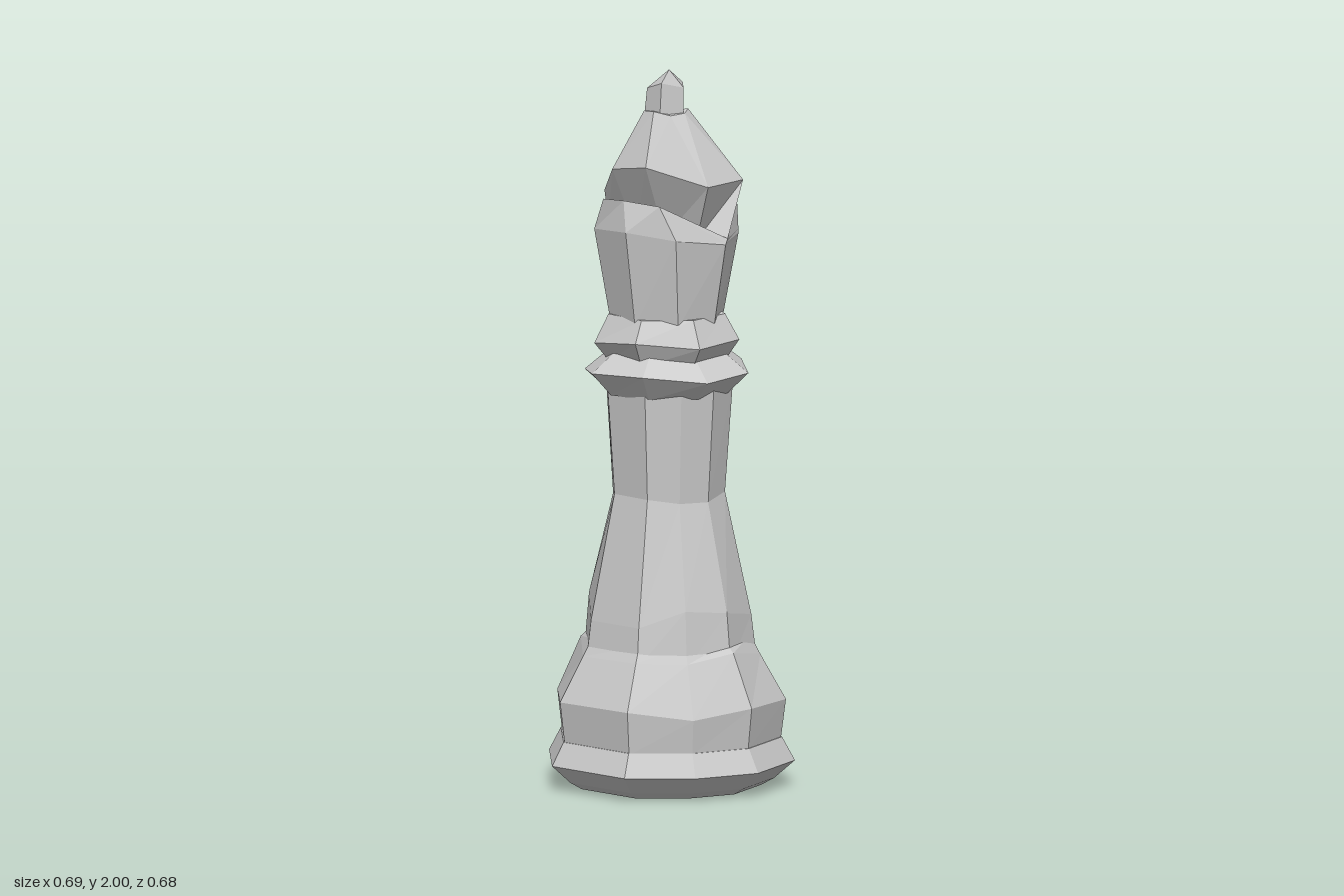
import * as THREE from 'three';

const material = new THREE.MeshStandardMaterial({ color: 0xcccccc, flatShading: true });

// Joins rings of [x, y, z] points, listed from bottom to top, and closes both ends.
function loft(name, rings, tip) {
  const n = rings[0].length;
  const pos = [];
  const centre = (ring) => [0, 1, 2].map((k) => ring.reduce((s, p) => s + p[k], 0) / n);
  const bottom = rings[0], top = rings[rings.length - 1];
  const low = centre(bottom), high = tip || centre(top);
  for (let i = 0; i < n; i++) {
    const j = (i + 1) % n;
    pos.push(...low, ...bottom[j], ...bottom[i], ...high, ...top[i], ...top[j]);
    for (let r = 0; r + 1 < rings.length; r++) {
      const a = rings[r], b = rings[r + 1];
      pos.push(...a[i], ...a[j], ...b[j], ...a[i], ...b[j], ...b[i]);
    }
  }
  const geometry = new THREE.BufferGeometry();
  geometry.setAttribute('position', new THREE.Float32BufferAttribute(pos, 3));
  geometry.computeVertexNormals();
  const mesh = new THREE.Mesh(geometry, material);
  mesh.name = name;
  return mesh;
}

// Irregular nine-sided outline shared by the foot and shaft, from front towards +x
const outline = [
  [0.085, 0.34], [0.25, 0.235], [0.345, 0.065], [0.315, -0.165], [0.135, -0.325],
  [-0.1, -0.34], [-0.31, -0.18], [-0.345, 0.065], [-0.19, 0.285],
];
const scaled = (y, s, wobble = 0) =>
  outline.map(([x, z], i) => [x * s, y + wobble * Math.sin(i * 2.4 + y * 9), z * s]);

// Regular ring with an optional turn, vertical wobble and offset
function ring(n, y, r, turn = 0, wobble = 0, cx = 0, cz = 0) {
  return Array.from({ length: n }, (_, i) => {
    const a = turn + (i / n) * Math.PI * 2;
    return [cx + r * Math.sin(a), y + wobble * Math.sin(i * 2.6 + 1), cz + r * Math.cos(a)];
  });
}

export function createModel() {
  const group = new THREE.Group();
  group.name = 'bishopChessPiece';

  // Foot and bulging base
  group.add(loft('foot', [scaled(0, 0.74), scaled(0.02, 0.84), scaled(0.07, 1), scaled(0.135, 0.9)]));
  group.add(loft('base', [
    scaled(0.13, 0.89), scaled(0.24, 0.93, 0.012), scaled(0.38, 0.73, 0.015), scaled(0.42, 0.65),
  ]));

  // Tapering shaft
  group.add(loft('shaft', [
    scaled(0.36, 0.7), scaled(0.5, 0.66, 0.03), scaled(0.81, 0.455, 0.01), scaled(1.12, 0.515),
  ]));

  // Two collars
  group.add(loft('lowerCollar', [
    ring(8, 1.1, 0.175, 0.3), ring(8, 1.16, 0.235, 0.3, 0.015), ring(8, 1.215, 0.165, 0.3, 0.01),
  ]));
  group.add(loft('upperCollar', [
    ring(7, 1.19, 0.165, 0.15), ring(7, 1.25, 0.205, 0.15, 0.012), ring(7, 1.32, 0.165, 0.15),
  ]));

  // Head: the front folds inward between the lip and the brow to form the notch
  const widest = [
    [0, 1.57, 0.205], [0.13, 1.55, 0.15], [0.195, 1.525, 0], [0.13, 1.52, -0.16],
    [-0.02, 1.52, -0.19], [-0.14, 1.52, -0.15], [-0.2, 1.525, 0], [-0.14, 1.56, 0.15],
  ];
  const lip = [
    [-0.02, 1.655, 0.185], [0.085, 1.645, 0.165], [0.194, 1.53, -0.005], [0.131, 1.53, -0.162],
    [-0.021, 1.53, -0.193], [-0.142, 1.53, -0.149], [-0.2, 1.535, -0.005], [-0.1, 1.65, 0.165],
  ];
  const notch = [
    [0, 1.53, 0.01], [0.1, 1.53, 0], [0.192, 1.54, -0.015], [0.129, 1.54, -0.164],
    [-0.022, 1.54, -0.195], [-0.144, 1.54, -0.148], [-0.201, 1.545, -0.015], [-0.1, 1.53, 0],
  ];
  const brow = [
    [0.01, 1.74, 0.12], [0.17, 1.69, 0.05], [0.18, 1.69, -0.11], [0.11, 1.63, -0.185],
    [-0.04, 1.62, -0.21], [-0.165, 1.63, -0.13], [-0.205, 1.64, 0], [-0.12, 1.72, 0.09],
  ];
  group.add(loft('head', [
    ring(8, 1.3, 0.158), widest, lip, notch, brow, ring(8, 1.88, 0.062, 0, 0.008, -0.005, -0.005),
  ]));

  // Finial
  group.add(loft('finial', [
    ring(5, 1.86, 0.06, 0.3, 0, -0.008, -0.008), ring(5, 1.955, 0.055, 0.3, 0.012, -0.005, -0.01),
  ], [0.015, 2, 0.01]));

  return group;
}
